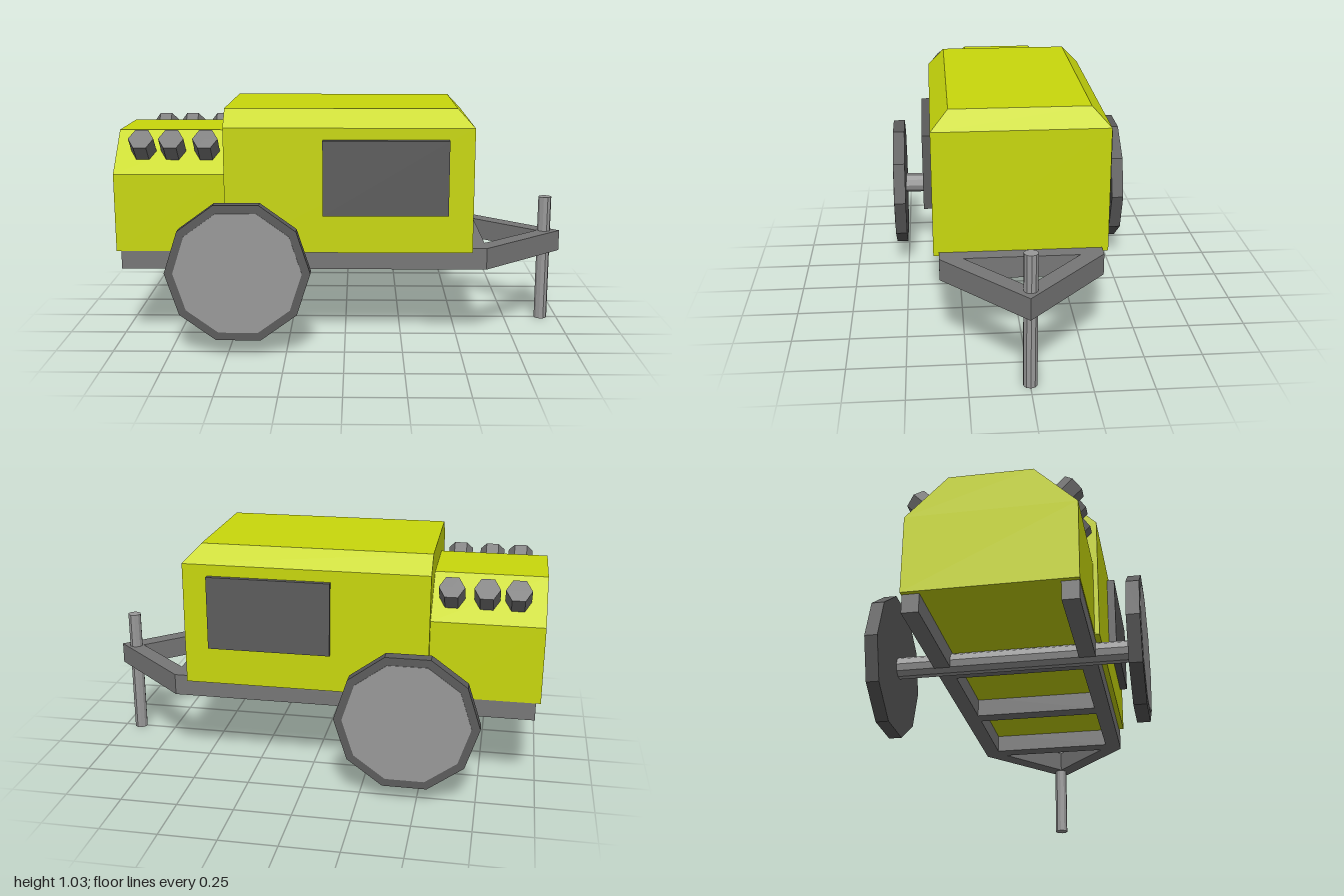
import * as THREE from 'three';

const paint = (color) => new THREE.MeshStandardMaterial({ color, flatShading: true });

export function createModel() {
  const group = new THREE.Group();
  const yellow = paint(0xc8d80c);
  const steel = paint(0x777777);
  const dark = paint(0x5c5c5c);
  const light = paint(0x999999);

  const add = (name, geometry, material, x = 0, y = 0, z = 0) => {
    const mesh = new THREE.Mesh(geometry, material);
    mesh.name = name;
    mesh.position.set(x, y, z);
    group.add(mesh);
    return mesh;
  };

  // Upright prism with corners pointing along x
  const prism = (radius, height, sides) =>
    new THREE.CylinderGeometry(radius, radius, height, sides).rotateY(Math.PI / 2);

  // Box with vertical walls up to the shoulder and a narrowed top
  const chamferedBox = (x0, x1, halfDepth, y0, shoulder, y1, insetZ, insetFront) => {
    const geometry = new THREE.BoxGeometry(x1 - x0, 2, halfDepth * 2, 1, 2, 1);
    geometry.translate((x0 + x1) / 2, 0, 0);
    const p = geometry.attributes.position;
    for (let i = 0; i < p.count; i++) {
      const level = Math.round(p.getY(i));
      p.setY(i, [y0, shoulder, y1][level + 1]);
      if (level === 1) {
        p.setZ(i, p.getZ(i) - Math.sign(p.getZ(i)) * insetZ);
        if (p.getX(i) > x1 - 0.01) p.setX(i, x1 - insetFront);
      }
    }
    geometry.computeVertexNormals();
    return geometry;
  };

  // Bodywork
  add('cabin', chamferedBox(-0.52, 0.555, 0.37, 0.41, 0.955, 1.03, 0.075, 0.07), yellow, 0, 0, 0.005);
  add('engineHood', chamferedBox(-1, -0.52, 0.348, 0.41, 0.75, 0.92, 0.175, 0), yellow, 0, 0, 0.007);

  // Chassis: side rails, crossbars and triangular drawbar in one outline
  const points = (list) => list.map(([x, y]) => new THREE.Vector2(x, y));
  const outline = new THREE.Shape(points([
    [-0.98, -0.345], [0.62, -0.345], [0.997, 0], [0.62, 0.345], [-0.98, 0.345],
    [-0.98, 0.275], [-0.43, 0.275], [-0.43, -0.275], [-0.98, -0.275],
  ]));
  outline.holes.push(new THREE.Path(points([[0.62, -0.245], [0.62, 0.245], [0.89, 0]])));
  for (const [a, b] of [[0.14, 0.55], [-0.36, 0.07]]) {
    outline.holes.push(new THREE.Path(points([[a, -0.275], [a, 0.275], [b, 0.275], [b, -0.275]])));
  }
  const chassis = new THREE.ExtrudeGeometry(outline, { depth: 0.095, bevelEnabled: false });
  add('chassis', chassis.rotateX(-Math.PI / 2), steel, 0, 0.33, 0.007);

  // Drawbar support post and axle
  add('supportPost', prism(0.03, 0.585, 10), light, 0.925, 0.2925, 0);
  add('axle', prism(0.047, 1.02, 10).rotateX(Math.PI / 2), light, -0.44, 0.359, 0);

  for (const side of [1, -1]) {
    const prefix = side > 0 ? 'front' : 'back';

    // Wheel
    add(prefix + 'Tyre', prism(0.308, 0.055, 10).rotateX(Math.PI / 2), dark, -0.45, 0.365, side * 0.53);
    add(prefix + 'WheelDisc', prism(0.272, 0.02, 10).rotateX(Math.PI / 2), light, -0.45, 0.365, side * 0.55);

    // Side panel
    add(prefix + 'Panel', new THREE.BoxGeometry(0.54, 0.325, 0.05), dark, 0.175, 0.7425, 0.011 + side * 0.373);

    // Exhaust stubs standing square to the sloped hood
    for (const x of [-0.88, -0.75, -0.603]) {
      const stub = add(prefix + 'ExhaustStub', prism(0.055, 0.096, 6), steel, x, 0.867, side * 0.293);
      stub.rotation.x = side * Math.PI / 4;
    }
  }

  return group;
}
